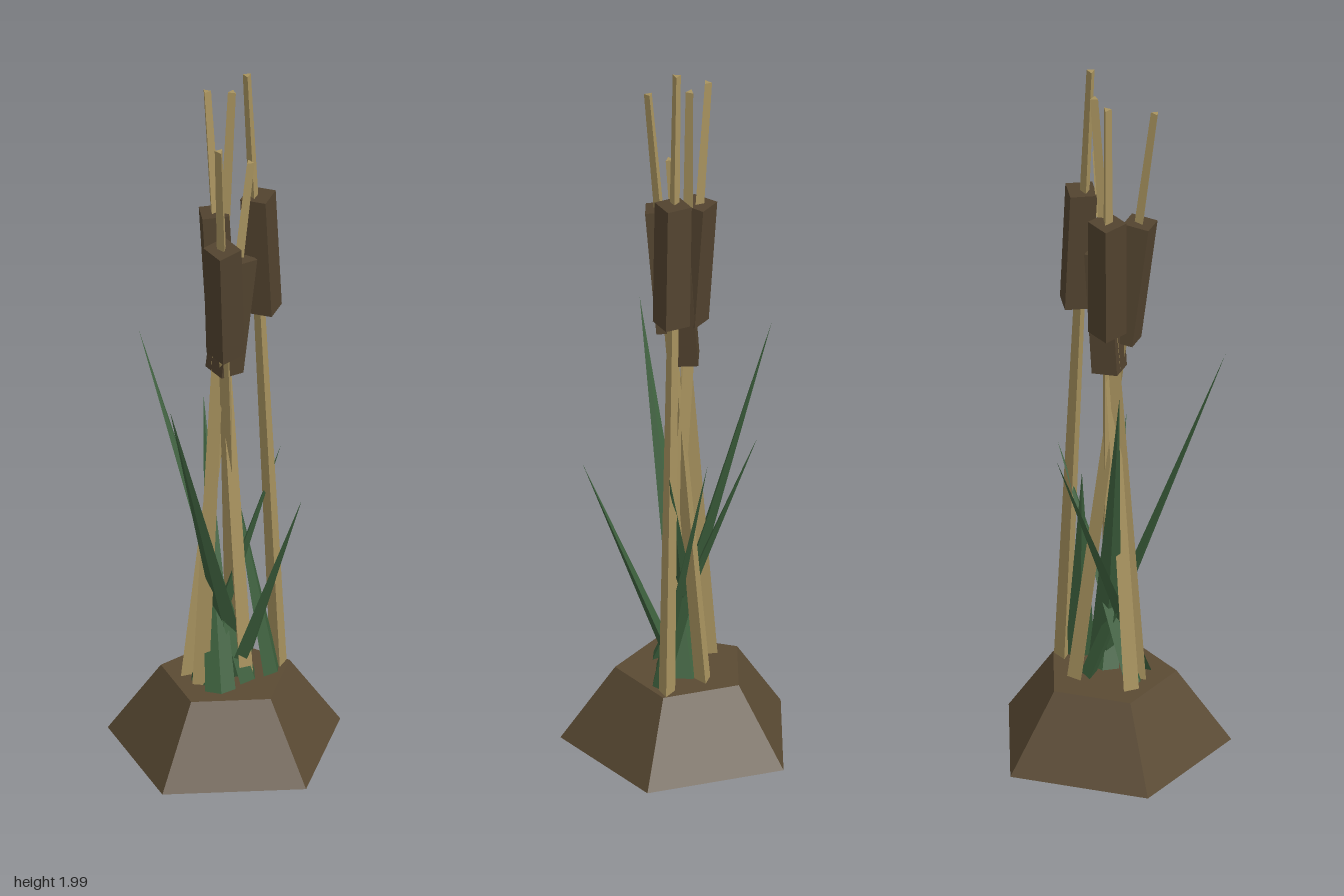
import * as THREE from 'three';

const UP = new THREE.Vector3(0, 1, 0);
const flat = (g) => {
  const f = g.index ? g.toNonIndexed() : g;
  f.computeVertexNormals();
  return f;
};

export function createModel() {
  const model = new THREE.Group();
  model.name = 'cattails';
  const mat = (name, color) => {
    const m = new THREE.MeshStandardMaterial({ color });
    m.name = name;
    return m;
  };
  const soil = mat('soil brown', 0x5a4a33);
  const brown = mat('seed head brown', 0x52432f);
  const tan = mat('dry stalk tan', 0xa8935f);
  const green = mat('leaf green', 0x3c5f3c);

  const add = (name, geometry, material) => {
    const mesh = new THREE.Mesh(flat(geometry), material);
    mesh.name = name;
    model.add(mesh);
    return mesh;
  };

  // Lay a y-aligned mesh between two points
  const span = (mesh, a, b) => {
    mesh.position.copy(a).lerp(b, 0.5);
    mesh.quaternion.setFromUnitVectors(UP, b.clone().sub(a).normalize());
  };
  // Point on the line a-b at a given height
  const atY = (a, b, y) => a.clone().lerp(b, (y - a.y) / (b.y - a.y));

  // Five-sided earth mound
  const mound = add('mound', new THREE.CylinderGeometry(0.174, 0.314, 0.205, 5, 1, false, Math.PI / 2), soil);
  mound.position.set(-0.031, 0.1325, 0);

  // Stalks: position at mound top, tip, optional head [bottom y, top y, spin, x shift]
  const stalks = [
    { base: [0.02, -0.07], tip: [-0.098, 1.86, 0.113], head: [1.21, 1.545, 0.27, 0] },
    { base: [0, 0.04], tip: [-0.065, 1.94, -0.055], head: [1.25, 1.59, -0.25, 0] },
    { base: [-0.11, 0.02], tip: [-0.005, 1.94, -0.027] },
    { base: [0.113, 0], tip: [0.025, 1.998, 0], head: [1.295, 1.635, 0.8, 0.012] },
    { base: [-0.125, -0.04], tip: [0.025, 1.75, 0.02], head: [1.135, 1.47, 0.25, 0] },
  ];
  stalks.forEach(({ base, tip, head }, i) => {
    const top = new THREE.Vector3(...tip);
    const foot = atY(new THREE.Vector3(base[0], 0.235, base[1]), top, 0.01);
    const stalk = new THREE.CylinderGeometry(0.012, 0.026, foot.distanceTo(top), 3);
    span(add('stalk', stalk.rotateY(i * 1.3), tan), foot, top);
    if (!head) return;
    // Boxy seed head threaded on the stalk
    const [y0, y1, spin, shift] = head;
    const low = atY(foot, top, y0);
    const high = atY(foot, top, y1);
    const box = new THREE.BoxGeometry(0.07, low.distanceTo(high), 0.07).rotateY(spin);
    const seed = add('seedHead', box, brown);
    span(seed, low, high);
    seed.position.x += shift;
  });

  // Pointed leaves: position at mound top, then tip
  const leaves = [
    [[0.01, -0.03], [-0.265, 1.165, 0.187]],
    [[0.01, 0.04], [-0.198, 1.19, -0.188]],
    [[-0.08, 0.075], [-0.012, 0.95, -0.205]],
    [[-0.01, 0.01], [0.08, 0.85, 0.235]],
    [[-0.11, 0], [0.122, 0.87, -0.01]],
    [[0.08, 0.03], [0, 0.85, -0.075]],
  ];
  leaves.forEach(([base, tip]) => {
    const top = new THREE.Vector3(...tip);
    const foot = atY(new THREE.Vector3(base[0], 0.235, base[1]), top, 0.015);
    // Broad side faces the direction the leaf leans
    const lean = Math.atan2(top.x - foot.x, top.z - foot.z);
    const blade = new THREE.ConeGeometry(1, foot.distanceTo(top), 4);
    blade.scale(0.052, 1, 0.024).rotateY(lean);
    span(add('leaf', blade, green), foot, top);
  });

  return model;
}
